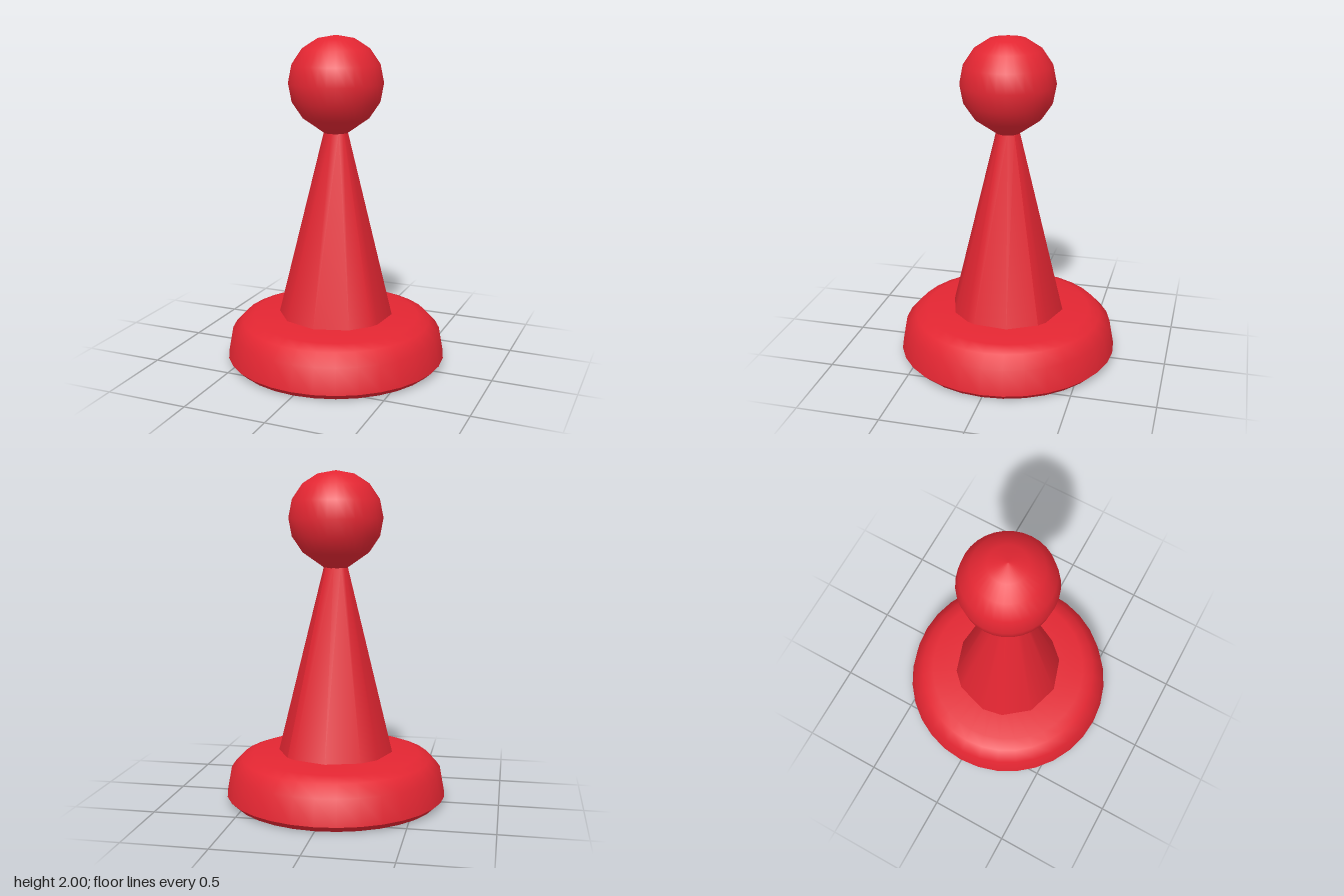
import * as THREE from 'three';

export function createModel() {
  const group = new THREE.Group();
  const red = new THREE.MeshStandardMaterial({ name: 'red', color: 0xe32632 });

  const add = (name, geometry) => {
    const mesh = new THREE.Mesh(geometry, red);
    mesh.name = name;
    group.add(mesh);
  };
  // Turned part: profile of [radius, height], from bottom to top
  const turn = (name, profile) =>
    add(name, new THREE.LatheGeometry(profile.map(([r, y]) => new THREE.Vector2(r, y)), 32));

  // Base: separate rings keep the lower edges sharp
  turn('baseUnderside', [[0, 0], [0.635, 0]]);
  turn('baseBevel', [[0.635, 0], [0.673, 0.037]]);
  turn('baseRim', [[0.673, 0.037], [0.645, 0.19], [0.58, 0.26], [0.51, 0.285], [0.3, 0.302], [0, 0.302]]);

  // Stem: tapered, with slightly uneven facets set by their corner angles
  const corners = [135, 145, 180, 215, 235, 270, 292, 325, 360, 395, 419, 428, 462, 495];
  const sides = corners.length - 1;
  const stem = new THREE.CylinderGeometry(0.072, 0.35, 1.13, sides, 1, true);
  const pos = stem.attributes.position;
  for (let i = 0; i < pos.count; i++) {
    const a = THREE.MathUtils.degToRad(corners[i % (sides + 1)]);
    const r = Math.hypot(pos.getX(i), pos.getZ(i));
    pos.setX(i, r * Math.sin(a));
    pos.setZ(i, r * Math.cos(a));
  }
  stem.translate(0, 0.865, 0);
  stem.computeVertexNormals();
  add('stem', stem);

  // Head: ball drawn in towards the neck
  turn('head', [
    [0.065, 1.42], [0.2, 1.515], [0.264, 1.61], [0.284, 1.72], [0.262, 1.83],
    [0.2, 1.922], [0.11, 1.98], [0, 2],
  ]);

  return group;
}
